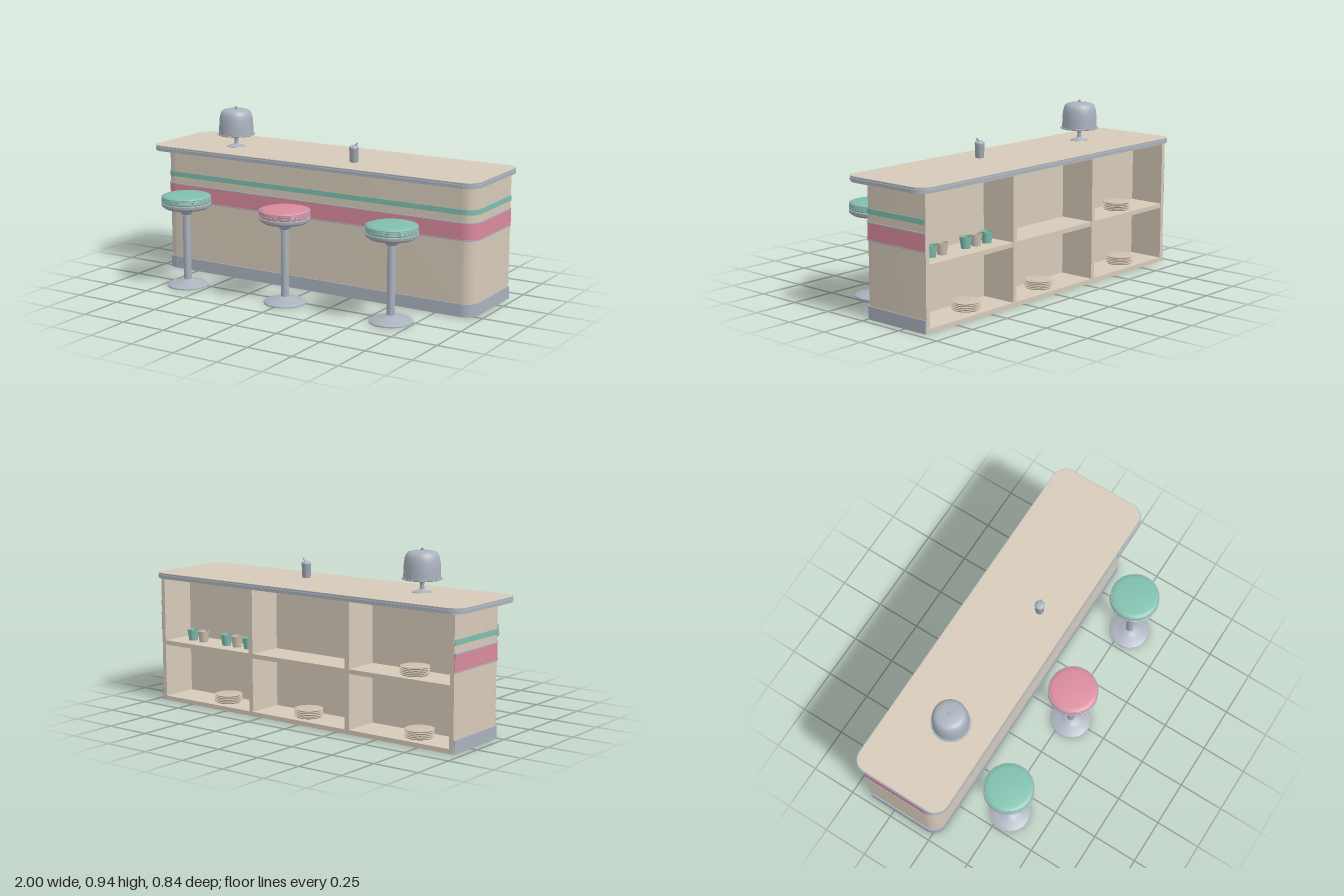
import * as THREE from 'three';
import { toCreasedNormals } from 'three/addons/utils/BufferGeometryUtils.js';

export function createModel() {
  const model = new THREE.Group();
  model.name = 'dinerCounter';

  const material = (name, color, side = THREE.FrontSide) => {
    const m = new THREE.MeshStandardMaterial({ color, side });
    m.name = name;
    return m;
  };
  const cream = material('cream laminate', 0xd6cab9);
  const chrome = material('chrome', 0xaab2bd);
  const mint = material('mint', 0x7fbfae, THREE.DoubleSide);
  const pink = material('pink', 0xd98a9c);
  const china = material('cream china', 0xcdc0ae, THREE.DoubleSide);

  const add = (parent, name, geometry, mat, x = 0, y = 0, z = 0) => {
    const mesh = new THREE.Mesh(geometry, mat);
    mesh.name = name;
    mesh.position.set(x, y, z);
    parent.add(mesh);
    return mesh;
  };
  // Profiles are [radius, height] pairs, listed from bottom to top
  const lathe = (points, sides = 40, crease = 0.6) => toCreasedNormals(
    new THREE.LatheGeometry(points.map(([r, y]) => new THREE.Vector2(r, y)), sides), crease);
  const box = (name, x0, x1, y0, y1, z0, z1) => add(model, name,
    new THREE.BoxGeometry(x1 - x0, y1 - y0, z1 - z0), cream,
    (x0 + x1) / 2, (y0 + y1) / 2, (z0 + z1) / 2);
  // Raises a plan outline (x, -z) between two heights
  const slab = (name, shape, y0, y1, mat) => {
    const g = new THREE.ExtrudeGeometry(shape, { depth: y1 - y0, bevelEnabled: false, curveSegments: 10 });
    return add(model, name, toCreasedNormals(g.rotateX(-Math.PI / 2), 0.6), mat, 0, y0, 0);
  };

  // Plan of a body with rounded front corners, open at the back
  const bodyPlan = (w, front, back, r, innerW, innerZ) => {
    const s = new THREE.Shape();
    s.moveTo(-w, -back);
    s.lineTo(-w, -front + r);
    s.absarc(-w + r, -front + r, r, Math.PI, Math.PI * 1.5, false);
    s.absarc(w - r, -front + r, r, Math.PI * 1.5, Math.PI * 2, false);
    s.lineTo(w, -back);
    s.lineTo(innerW, -back);
    s.lineTo(innerW, -innerZ);
    s.lineTo(-innerW, -innerZ);
    s.lineTo(-innerW, -back);
    s.closePath();
    return s;
  };
  slab('counterBody', bodyPlan(0.958, 0.034, -0.395, 0.07, 0.934, -0.195), 0, 0.685, cream);

  // Wrap-around plinth, stripes and trims
  const wrap = (name, out, y0, y1, mat) =>
    slab(name, bodyPlan(0.958 + out, 0.034 + out, -0.394, 0.07 + out, 0.945, -0.1), y0, y1, mat);
  wrap('plinth', 0.006, 0.001, 0.068, chrome);
  wrap('pinkBand', 0.004, 0.4, 0.488, pink);
  wrap('mintBand', 0.004, 0.53, 0.557, mint);
  wrap('lowerTrim', 0.007, 0.396, 0.401, chrome);
  wrap('upperTrim', 0.007, 0.486, 0.491, chrome);

  // Countertop with a ribbed chrome edge
  const topPlan = (inset) => {
    const w = 1 - inset, f = 0.12 - inset, b = -0.42 + inset, r = 0.08 - inset;
    const s = new THREE.Shape();
    s.absarc(-w + r, -f + r, r, Math.PI, Math.PI * 1.5, false);
    s.absarc(w - r, -f + r, r, Math.PI * 1.5, Math.PI * 2, false);
    s.absarc(w - r, -b - r, r, 0, Math.PI / 2, false);
    s.absarc(-w + r, -b - r, r, Math.PI / 2, Math.PI, false);
    s.closePath();
    return s;
  };
  slab('countertop', topPlan(0.006), 0.68, 0.711, cream);
  [[0.682, 0.689, 0.003], [0.689, 0.701, 0], [0.703, 0.71, 0.003]].forEach(([y0, y1, inset]) => {
    const ring = topPlan(inset);
    ring.holes.push(topPlan(0.012));
    slab('countertopEdge', ring, y0, y1, chrome);
  });

  // Shelving at the back
  box('shelfFloor', -0.936, 0.936, 0.0005, 0.024, -0.3945, -0.19);
  box('middleShelf', -0.936, 0.936, 0.312, 0.336, -0.393, -0.19);
  for (const x of [-0.318, 0.318]) box('shelfDivider', x - 0.013, x + 0.013, 0.01, 0.685, -0.394, -0.19);

  // Stacks of plates
  const stack = [[0, 0]];
  for (let i = 0; i < 5; i++) stack.push([0.066, i * 0.009], [0.075, i * 0.009 + 0.006], [0.075, i * 0.009 + 0.008]);
  stack.push([0.07, 0.045], [0, 0.043]);
  const stackGeometry = lathe(stack, 32);
  [[0.57, 0.024], [0.01, 0.024], [-0.69, 0.024], [-0.66, 0.336]].forEach(([x, y]) =>
    add(model, 'plateStack', stackGeometry, china, x, y, -0.29));

  // Tumblers
  const cupGeometry = lathe([[0, 0], [0.023, 0], [0.026, 0.02], [0.032, 0.06], [0.029, 0.06], [0.021, 0.006], [0, 0.006]], 20);
  [0.82, 0.743, 0.575, 0.5, 0.42].forEach((x, i) =>
    add(model, 'cup', cupGeometry, i % 2 ? china : mint, x, 0.336, -0.295));

  // Stools
  const stoolFrame = lathe([
    [0, 0], [0.112, 0], [0.112, 0.006], [0.1, 0.013], [0.07, 0.019], [0.045, 0.026], [0.03, 0.035], [0.021, 0.036],
    [0.021, 0.395], [0.03, 0.4], [0.036, 0.41], [0.045, 0.425], [0.09, 0.428], [0.115, 0.433],
    [0.13, 0.443], [0.134, 0.453], [0.134, 0.461], [0.128, 0.465], [0, 0.465]]);
  const cushion = lathe([
    [0.127, 0.462], [0.132, 0.466], [0.133, 0.473], [0.129, 0.477], [0.133, 0.481], [0.133, 0.489],
    [0.129, 0.496], [0.122, 0.501], [0.105, 0.504], [0, 0.505]]);
  const piping = new THREE.TorusGeometry(0.13, 0.003, 8, 40).rotateX(Math.PI / 2);
  [[-0.63, mint], [0, pink], [0.63, mint]].forEach(([x, mat]) => {
    const stool = new THREE.Group();
    stool.name = 'stool';
    stool.position.set(x, 0, 0.286);
    add(stool, 'stoolFrame', stoolFrame, chrome);
    add(stool, 'seatCushion', cushion, mat);
    for (const y of [0.477, 0.495]) add(stool, 'seatPiping', piping, chrome, 0, y, 0);
    model.add(stool);
  });

  // Covered cake stand
  const cake = new THREE.Group();
  cake.name = 'cakeStand';
  cake.position.set(-0.565, 0.711, -0.097);
  add(cake, 'standFoot', lathe([
    [0, 0], [0.05, 0], [0.048, 0.004], [0.025, 0.01], [0.012, 0.018], [0.01, 0.04], [0.016, 0.055],
    [0.03, 0.064], [0.095, 0.065], [0.103, 0.068], [0.103, 0.073], [0, 0.073]]), chrome);
  add(cake, 'cakeDome', lathe([
    [0.095, 0.073], [0.094, 0.11], [0.092, 0.15], [0.088, 0.175], [0.081, 0.194], [0.07, 0.204],
    [0.05, 0.209], [0.006, 0.211], [0.004, 0.215], [0, 0.215]], 40, 0.5), chrome);
  add(cake, 'domeKnob', new THREE.SphereGeometry(0.008, 16, 12), chrome, 0, 0.219, 0);
  model.add(cake);

  // Sugar pourer with a tilted spout
  const pourer = new THREE.Group();
  pourer.name = 'sugarPourer';
  pourer.position.set(0.21, 0.711, -0.058);
  add(pourer, 'pourerBody', lathe([
    [0, 0], [0.021, 0], [0.023, 0.006], [0.025, 0.068], [0.026, 0.07], [0.026, 0.078],
    [0.021, 0.085], [0.011, 0.09], [0, 0.091]], 28), chrome);
  const spout = add(pourer, 'spout', new THREE.CylinderGeometry(0.004, 0.005, 0.03, 12), chrome, 0.012, 0.093, 0);
  spout.rotation.z = -0.75;
  model.add(pourer);

  return model;
}
